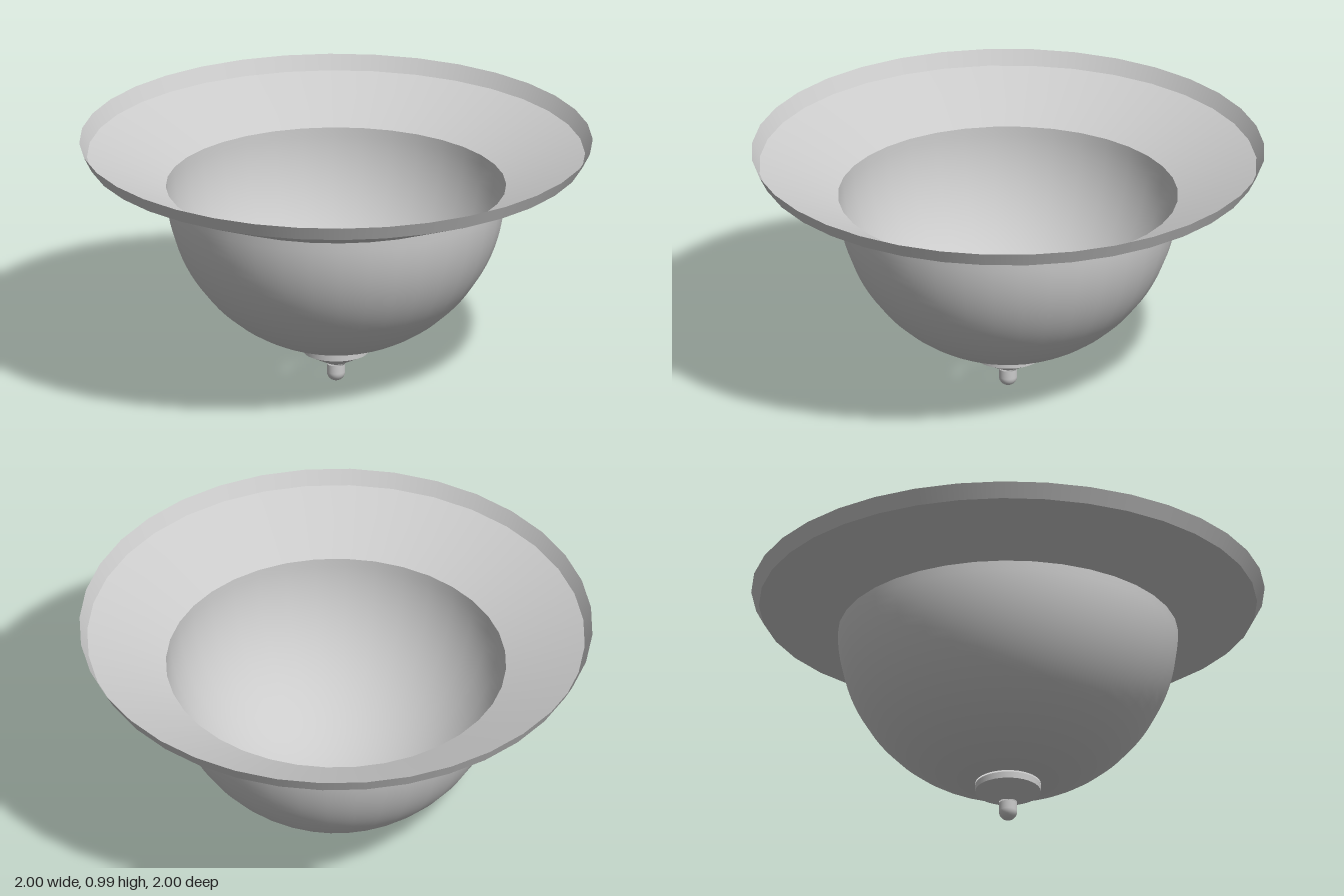
import * as THREE from 'three';

const SEGMENTS = 36;
const material = new THREE.MeshStandardMaterial({ color: 0xcccccc, side: THREE.DoubleSide });

// Thin surface of revolution; the profile runs from bottom to top.
function shell(name, profile) {
  const points = profile.map(([r, y]) => new THREE.Vector2(r, y));
  const mesh = new THREE.Mesh(new THREE.LatheGeometry(points, SEGMENTS), material);
  mesh.name = name;
  return mesh;
}

// Points along a circle in the profile, angles measured up from straight down.
function arc(radius, centreY, from, to, steps) {
  return Array.from({ length: steps + 1 }, (_, i) => {
    const a = from + ((to - from) * i) / steps;
    return [radius * Math.sin(a), centreY - radius * Math.cos(a)];
  });
}

export function createModel() {
  const model = new THREE.Group();
  model.name = 'bowlLampShade';

  // Flared rim: sloping brim and steep outer lip, with a crease between
  model.add(shell('brim', [[0.663, 0.805], [0.97, 0.93]]));
  model.add(shell('rimLip', [[0.97, 0.93], [1, 0.988]]));

  // Open hemispherical bowl, stopping at the finial opening
  model.add(shell('bowl', arc(0.663, 0.805, Math.asin(0.128 / 0.663), Math.PI / 2, 24)));

  // Hollow finial under the bowl: collar, cone and rounded tip
  const finial = new THREE.Group();
  finial.name = 'finial';
  finial.add(shell('finialCollar', [[0.128, 0.122], [0.128, 0.148]]));
  finial.add(shell('finialCone', [[0.036, 0.075], [0.128, 0.122]]));
  finial.add(shell('finialTip', [...arc(0.036, 0.042, 0, Math.PI / 2, 8), [0.036, 0.075]]));
  finial.children[2].position.y = -0.006;
  model.add(finial);

  return model;
}
